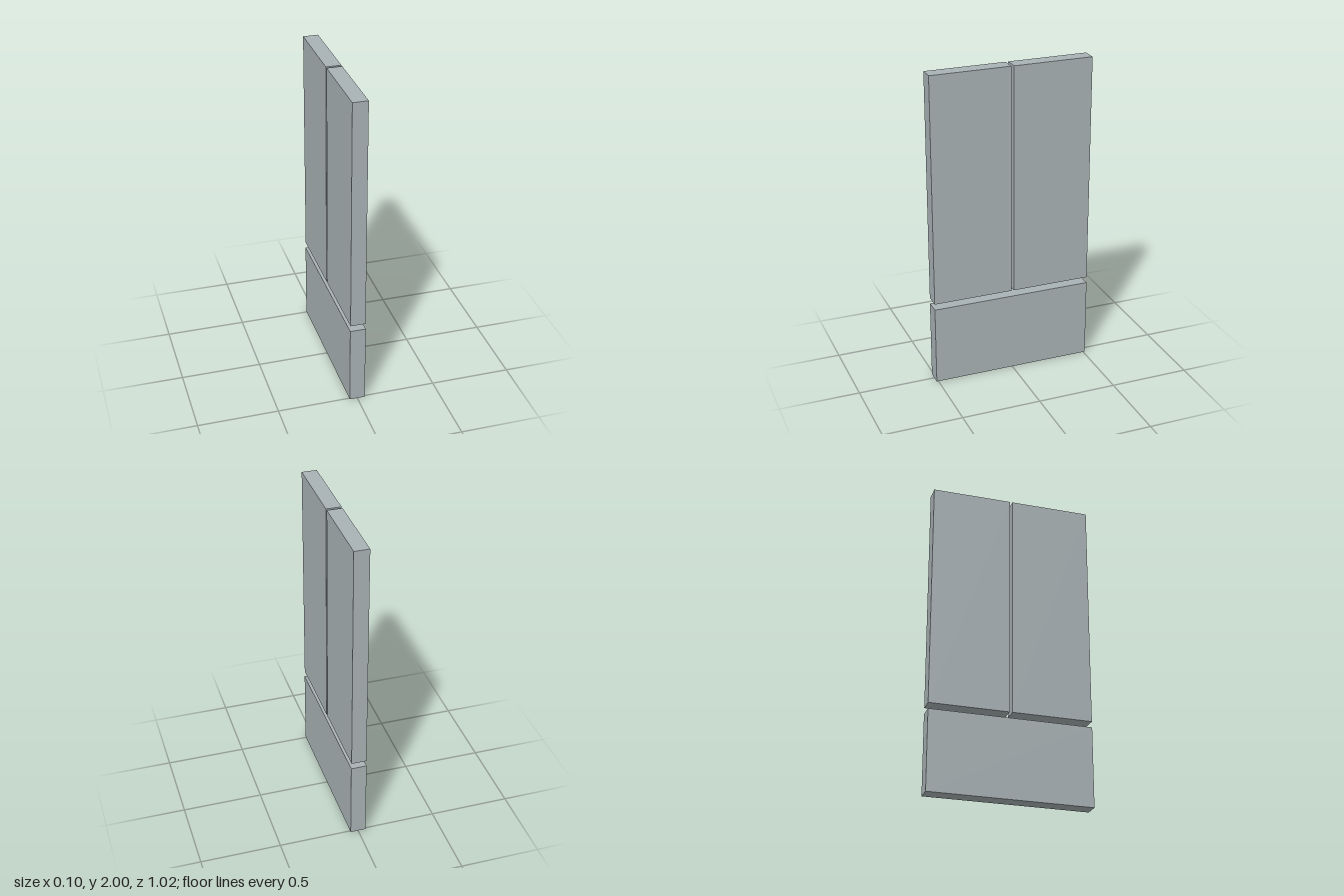
import * as THREE from 'three';

export function createModel() {
  const group = new THREE.Group();
  const greyPanel = new THREE.MeshStandardMaterial({ color: 0xa9b2b5 });
  greyPanel.name = 'greyPanel';

  // Adds a flat panel spanning the given heights and depths
  function panel(name, thickness, y0, y1, z0, z1) {
    const mesh = new THREE.Mesh(new THREE.BoxGeometry(thickness, y1 - y0, z1 - z0), greyPanel);
    mesh.name = name;
    mesh.position.set(0, (y0 + y1) / 2, (z0 + z1) / 2);
    group.add(mesh);
  }

  // Wide drawer front below a pair of tall doors
  panel('drawerFront', 0.097, 0, 0.506, -0.511, 0.511);
  panel('frontDoor', 0.094, 0.544, 2, 0.007, 0.511);
  panel('rearDoor', 0.094, 0.544, 2, -0.511, -0.01);

  return group;
}
